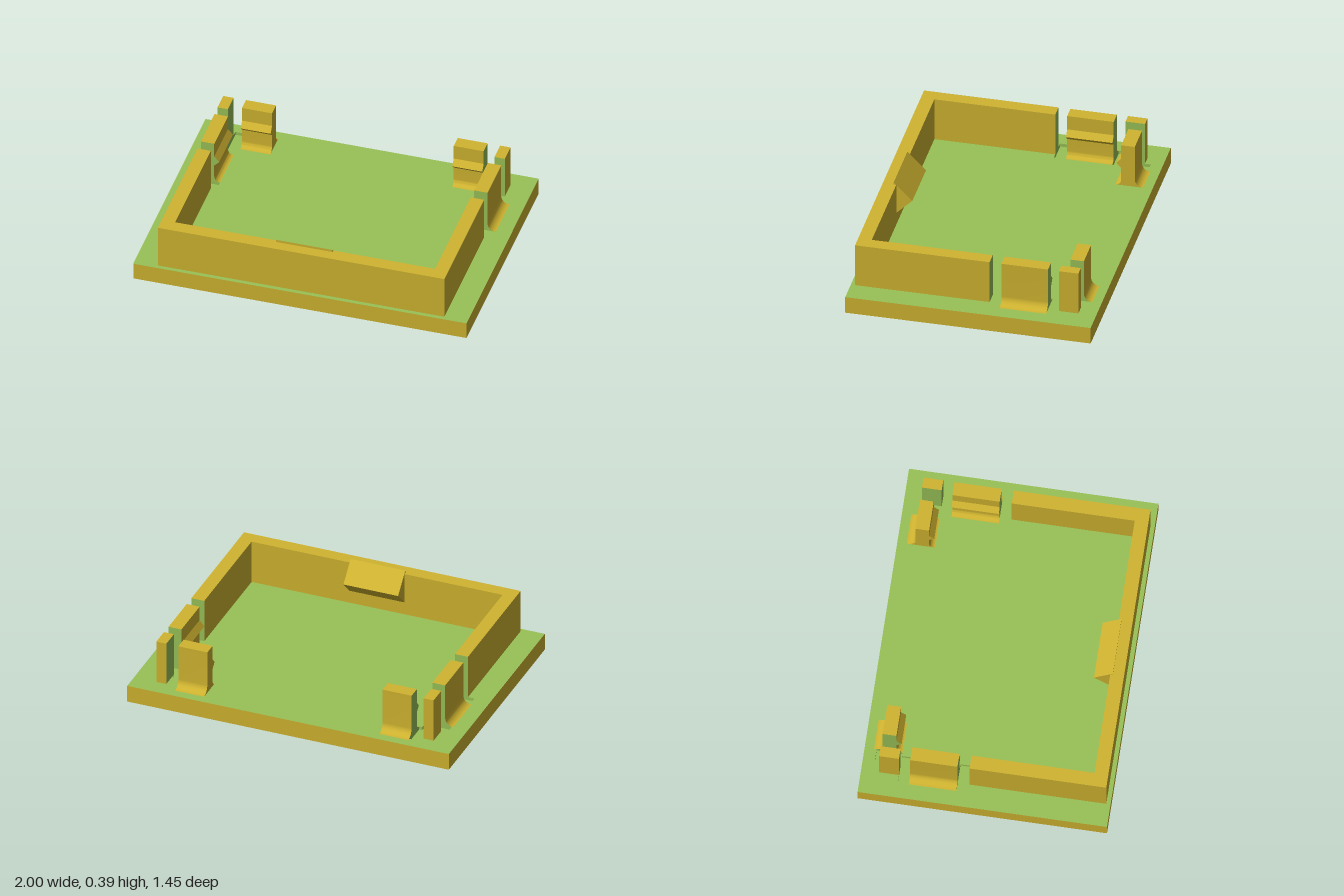
import * as THREE from 'three';
import { toCreasedNormals } from 'three/addons/utils/BufferGeometryUtils.js';

const TOP = 0.105, WALL_TOP = 0.375, SLOT_Y = 0.085, POCKET_Y = 0.045;

export function createModel() {
  const yellow = new THREE.MeshStandardMaterial({ name: 'mustard yellow', color: 0xd0b430 });
  const green = new THREE.MeshStandardMaterial({ name: 'leaf green', color: 0x99c257 });
  const model = new THREE.Group();
  model.name = 'enclosureLid';

  // Adds a mesh whose triangles are green where isGreen(centroid, normal) holds
  function add(name, source, isGreen = () => false) {
    const g = source.index ? source.toNonIndexed() : source;
    g.clearGroups();
    const p = g.attributes.position, tri = new THREE.Triangle();
    const c = new THREE.Vector3(), n = new THREE.Vector3();
    for (let i = 0; i < p.count; i += 3) {
      tri.setFromAttributeAndIndices(p, i, i + 1, i + 2);
      tri.getMidpoint(c);
      tri.getNormal(n);
      g.addGroup(i, 3, isGreen(c, n) ? 1 : 0);
    }
    const mesh = new THREE.Mesh(g, [yellow, green]);
    mesh.name = name;
    model.add(mesh);
  }

  const outline = pts => pts.map(([x, z]) => new THREE.Vector2(x, -z));
  const rect = (x0, x1, z0, z1) => [[x0, z0], [x1, z0], [x1, z1], [x0, z1]];

  // Upright prism over an [x, z] outline with optional holes
  function prism(pts, holes, y0, y1) {
    const shape = new THREE.Shape(outline(pts));
    shape.holes = holes.map(h => new THREE.Path(outline(h)));
    const g = new THREE.ExtrudeGeometry(shape, { depth: y1 - y0, bevelEnabled: false });
    return g.rotateX(-Math.PI / 2).translate(0, y0, 0);
  }

  // Base plate with a shallow pocket and relief slots beside the clips
  const plate = rect(-1, 1, -0.725, 0.725);
  const pocket = rect(-0.65, 0.65, -0.54, 0.62);
  const slots = [];
  for (const s of [1, -1]) {
    slots.push(rect(0.745, 0.9, -0.165, -0.095).map(([x, z]) => [s * x, z]));
    slots.push([[0.9, -0.44], [0.745, -0.44], [0.745, -0.505], [0.725, -0.505],
      [0.725, -0.655], [0.8, -0.655], [0.8, -0.505], [0.9, -0.505]].map(([x, z]) => [s * x, z]));
  }
  const innerFace = (c, n) => n.y > 0.5 ||
    (Math.abs(n.y) < 0.5 && Math.abs(c.x) < 0.99 && Math.abs(c.z) < 0.72);
  add('baseFloor', prism(plate, [], 0, POCKET_Y), innerFace);
  add('baseMiddle', prism(plate, [pocket], POCKET_Y, SLOT_Y), innerFace);
  add('baseTop', prism(plate, [pocket, ...slots], SLOT_Y, TOP), innerFace);

  // U-shaped wall, open to the back, with green ends at the slots
  add('wall', prism([[-0.86, -0.095], [-0.86, 0.7], [0.86, 0.7], [0.86, -0.095],
    [0.78, -0.095], [0.78, 0.62], [-0.78, 0.62], [-0.78, -0.095]], [], TOP, WALL_TOP),
  (c, n) => n.z < -0.5 && c.z < 0);

  // Wedge catch on the inside of the front wall
  const wedge = new THREE.Shape([[-0.635, 0.39], [-0.525, 0.28], [-0.62, 0.185], [-0.635, 0.185]]
    .map(([u, y]) => new THREE.Vector2(u, y)));
  add('frontCatch', new THREE.ExtrudeGeometry(wedge, { depth: 0.34, bevelEnabled: false })
    .rotateY(Math.PI / 2).translate(-0.17, 0, 0));

  // Snap clip: filleted foot on both sides and a ridge on the inner face
  function clip(length) {
    const s = new THREE.Shape();
    s.moveTo(-0.035, TOP);
    s.absarc(-0.035, TOP + 0.035, 0.035, 1.5 * Math.PI, 2 * Math.PI, false);
    s.lineTo(0, 0.22);
    s.lineTo(-0.03, 0.25);
    s.lineTo(0, 0.285);
    s.lineTo(0, WALL_TOP);
    s.lineTo(0.08, WALL_TOP);
    s.absarc(0.13, TOP + 0.05, 0.05, Math.PI, 1.5 * Math.PI, false);
    const g = new THREE.ExtrudeGeometry(s, { depth: length, bevelEnabled: false, curveSegments: 8 });
    return toCreasedNormals(g, 0.5);
  }
  const sideEnds = (c, n) => Math.abs(n.z) > 0.9;
  add('leftClip', clip(0.275).translate(0.78, 0, -0.44), sideEnds);
  add('rightClip', clip(0.275).rotateY(Math.PI).translate(-0.78, 0, -0.165), sideEnds);
  const outerEnd = (c, n) => Math.abs(n.x) > 0.9 && Math.abs(c.x) > 0.7;
  add('backLeftClip', clip(0.18).rotateY(Math.PI / 2).translate(0.545, 0, -0.54), outerEnd);
  add('backRightClip', clip(0.18).rotateY(Math.PI / 2).translate(-0.725, 0, -0.54), outerEnd);

  // Back corner posts, green on the faces toward the slots
  for (const s of [1, -1]) {
    const post = rect(0.8, 0.862, -0.62, -0.505).map(([x, z]) => [s * x, z]);
    add(s > 0 ? 'leftCornerPost' : 'rightCornerPost', prism(post, [], TOP, WALL_TOP),
      (c, n) => n.z > 0.5 || n.x * s < -0.5);
  }
  return model;
}
